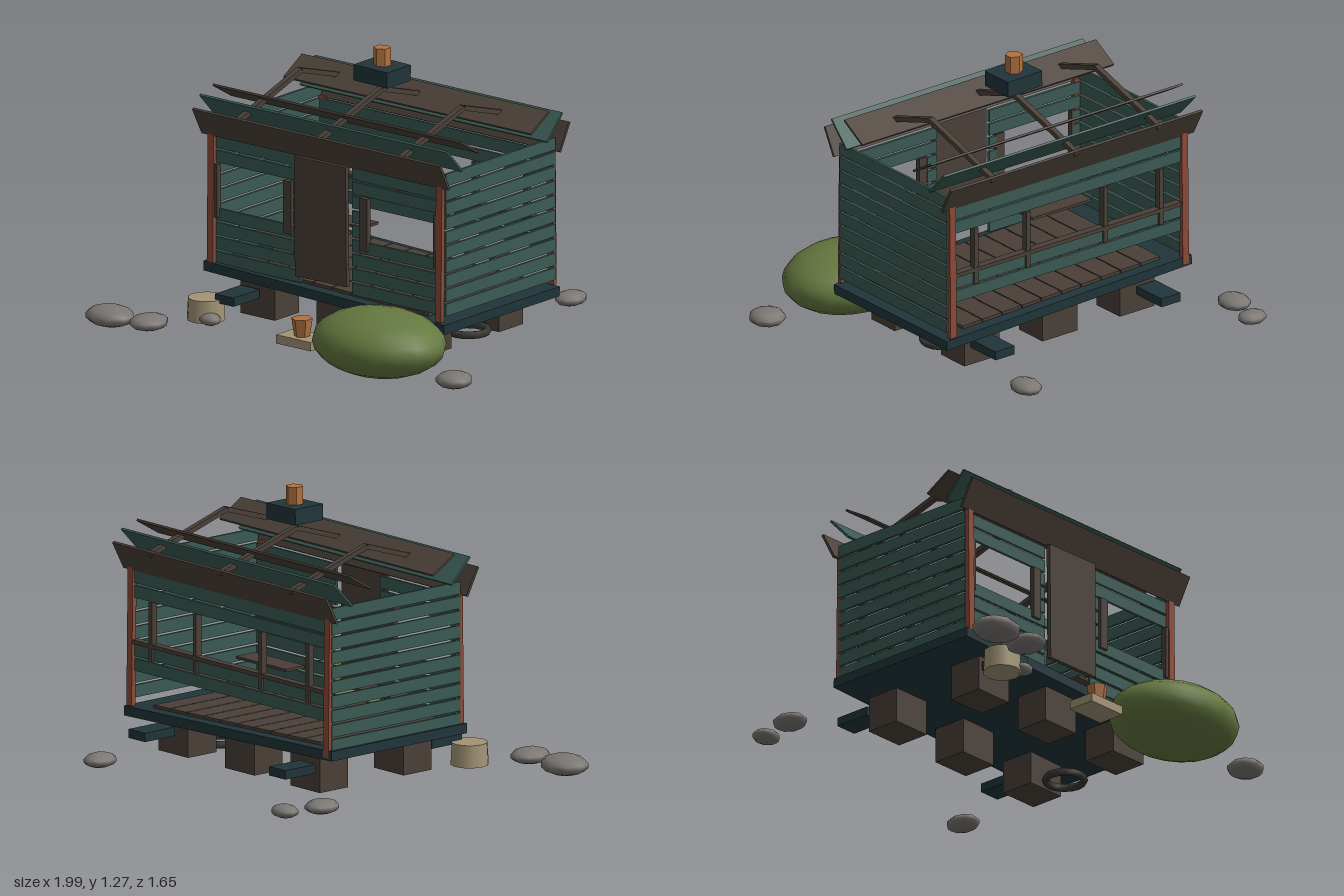
import * as THREE from 'three';

const mat = (name, hex) => {
  const m = new THREE.MeshStandardMaterial({ color: hex });
  m.name = name;
  return m;
};

export function createModel() {
  const root = new THREE.Group();
  root.name = 'ruinedCabin';
  const timber = mat('old timber', 0x4a4038);
  const teal = mat('teal boards', 0x3b5a54);
  const darkTeal = mat('dark teal', 0x20353a);
  const red = mat('red posts', 0x8c4a38);
  const clay = mat('clay', 0xb0713f);
  const beige = mat('pale wood', 0xa29476);
  const stone = mat('stone', 0x7b7773);
  const leaf = mat('leaf', 0x65783f);
  const iron = mat('iron', 0x3a3733);

  const add = (name, geo, m, x, y, z, parent = root) => {
    const mesh = new THREE.Mesh(geo, m);
    mesh.name = name;
    mesh.position.set(x, y, z);
    parent.add(mesh);
    return mesh;
  };
  // Box given by its min and max on each axis
  const box = (name, m, x0, x1, y0, y1, z0, z1, parent = root) =>
    add(name, new THREE.BoxGeometry(x1 - x0, y1 - y0, z1 - z0), m,
      (x0 + x1) / 2, (y0 + y1) / 2, (z0 + z1) / 2, parent);
  // Board running along x whose section goes from (z0, y0) to (z1, y1)
  const slope = (name, m, x0, x1, z0, y0, z1, y1, t) => {
    const geo = new THREE.BoxGeometry(x1 - x0, t, Math.hypot(z1 - z0, y1 - y0));
    add(name, geo, m, (x0 + x1) / 2, (y0 + y1) / 2, (z0 + z1) / 2)
      .rotation.x = Math.atan2(y0 - y1, z1 - z0);
  };

  const CX = 0.017, CZ = -0.045;

  // Sagging floor with planks
  const floor = new THREE.Group();
  floor.name = 'floor';
  floor.position.set(CX, 0.222, CZ);
  floor.rotation.z = -0.03;
  root.add(floor);
  box('floorSlab', darkTeal, -0.682, 0.682, -0.022, 0.022, -0.395, 0.395, floor);
  for (let i = 0; i < 10; i++) {
    const x = -0.548 + i * 0.11;
    box('floorPlank', timber, x, x + 0.105, 0.022, 0.036, -0.34, 0.34, floor);
  }

  // Foundation blocks
  for (const x of [-0.415, 0.015, 0.45])
    for (const z of [0.198, -0.29])
      box('foundationBlock', timber, x - 0.097, x + 0.097, 0.04, 0.2, z - 0.082, z + 0.082);

  // Projecting beam ends
  for (const x of [-0.45, 0.473]) {
    box('backBeamEnd', darkTeal, x - 0.053, x + 0.053, 0.13, 0.17, -0.565, -0.39);
    box('frontBeamEnd', darkTeal, x - 0.053, x + 0.053, 0.13, 0.17, 0.29, 0.465);
  }

  // Boarded walls: ten rows, cut around the windows and door
  const front = 0.325, back = -0.425, T = 0.012, H = 0.0275;
  for (let i = 0; i < 10; i++) {
    const y = 0.284 + i * 0.0656;
    for (const x of [-0.645, 0.682])
      box('sideBoard', teal, x - T / 2, x + T / 2, y - H, y + H, back, front);
    const windowRow = i > 3 && i < 7;
    const spans = windowRow
      ? [[-0.645, -0.605], [-0.175, -0.135], [0.155, 0.21], [0.64, 0.682]]
      : [[-0.645, -0.135], [0.155, 0.682]];
    if (i < 9)
      for (const [a, b] of spans) box('frontBoard', teal, a, b, y - H, y + H, front - T, front);
    if (i === 2 || i === 3 || i === 7 || i === 8)
      box('backBoard', teal, -0.645, 0.682, y - H, y + H, back, back + T);
  }

  // Corner posts
  for (const x of [-0.63, 0.662])
    for (const z of [0.334, -0.428]) {
      const post = box('cornerPost', red, x - 0.017, x + 0.017, 0.23, 0.85, z - 0.011, z + 0.011);
      post.rotation.x = z > 0 ? -0.012 : 0.012;
    }

  // Window jambs and sills
  for (const [x, w] of [[-0.605, 0.02], [-0.2, 0.045], [0.23, 0.045], [0.637, 0.02]])
    box('frontJamb', timber, x - w / 2, x + w / 2, 0.47, 0.71, front - 0.01, front + 0.015);
  for (const x of [-0.5, -0.19, 0.24, 0.53])
    box('backJamb', timber, x - 0.011, x + 0.011, 0.45, 0.715, back - 0.01, back + 0.02);
  box('backSill', timber, -0.61, 0.65, 0.51, 0.528, back - 0.012, back + 0.025);

  // Low interior shelves
  for (const x of [-0.36, 0.39])
    for (const z of [-0.225, 0.14])
      box('shelf', timber, x - 0.165, x + 0.165, 0.375, 0.387, z - 0.055, z + 0.055);

  // Crooked door
  box('door', timber, -0.14, 0.152, 0.297, 0.84, 0.341, 0.361).rotation.z = 0.01;

  // Rafters, and loose roof boards on both slopes
  for (const x of [-0.445, 0.014, 0.475]) {
    slope('frontRafter', timber, x - 0.013, x + 0.013, CZ, 1.083, 0.39, 0.942, 0.022);
    slope('backRafter', timber, x - 0.013, x + 0.013, -0.49, 0.948, CZ, 1.083, 0.022);
  }
  for (const s of [1, -1]) {
    const z = (d) => CZ + s * d;
    slope('eaveBoard', timber, -0.685, 0.715, z(0.378), 0.84, z(0.443), 0.963, 0.012);
    slope('middleRoofBoard', teal, -0.685, 0.715, z(0.29), 0.905, z(0.395), 1.015, 0.01);
    slope('upperRoofBoard', timber, -0.685, 0.715, z(0.178), 0.965, z(0.305), 1.04, 0.01);
  }

  // Chimney
  box('chimneyBase', darkTeal, -0.078, 0.112, 1.12, 1.192, -0.13, 0.032).rotation.z = -0.02;
  const hex = (top, bottom, h) => new THREE.CylinderGeometry(top, bottom, h, 6).toNonIndexed();
  const flat = (g) => { g.computeVertexNormals(); return g; };
  add('chimneyPipe', flat(hex(0.039, 0.039, 0.085)), clay, 0.016, 1.229, -0.05);

  // Doorstep with a clay pot
  box('doorstep', beige, -0.083, 0.112, 0.043, 0.083, 0.425, 0.555);
  add('pot', flat(hex(0.047, 0.035, 0.08)), clay, 0.014, 0.123, 0.495);

  // Stump and iron ring
  add('stump', new THREE.CylinderGeometry(0.08, 0.085, 0.1, 12), beige, -0.558, 0.095, 0.46);
  const ring = add('ironRing', new THREE.TorusGeometry(0.085, 0.017, 6, 16), iron, 0.46, 0.057, -0.105);
  ring.rotation.x = Math.PI / 2;

  // Bush
  add('bush', new THREE.SphereGeometry(1, 18, 12), leaf, 0.476, 0.148, 0.525)
    .scale.set(0.318, 0.148, 0.258);

  // Rocks: x, y, z, then half sizes
  const rocks = [
    [-0.882, 0.06, 0.725, 0.118, 0.047, 0.1], [-0.675, 0.066, 0.71, 0.082, 0.036, 0.096],
    [-0.488, 0.068, 0.515, 0.05, 0.027, 0.045], [0.917, 0.063, 0.545, 0.083, 0.038, 0.083],
    [-0.735, 0.066, -0.775, 0.068, 0.03, 0.057], [-0.777, 0.066, -0.595, 0.07, 0.033, 0.083],
    [0.505, 0.066, -0.75, 0.065, 0.033, 0.082],
  ];
  for (const [x, y, z, a, b, c] of rocks)
    add('rock', new THREE.SphereGeometry(1, 9, 7), stone, x, y, z).scale.set(a, b, c);

  return root;
}
